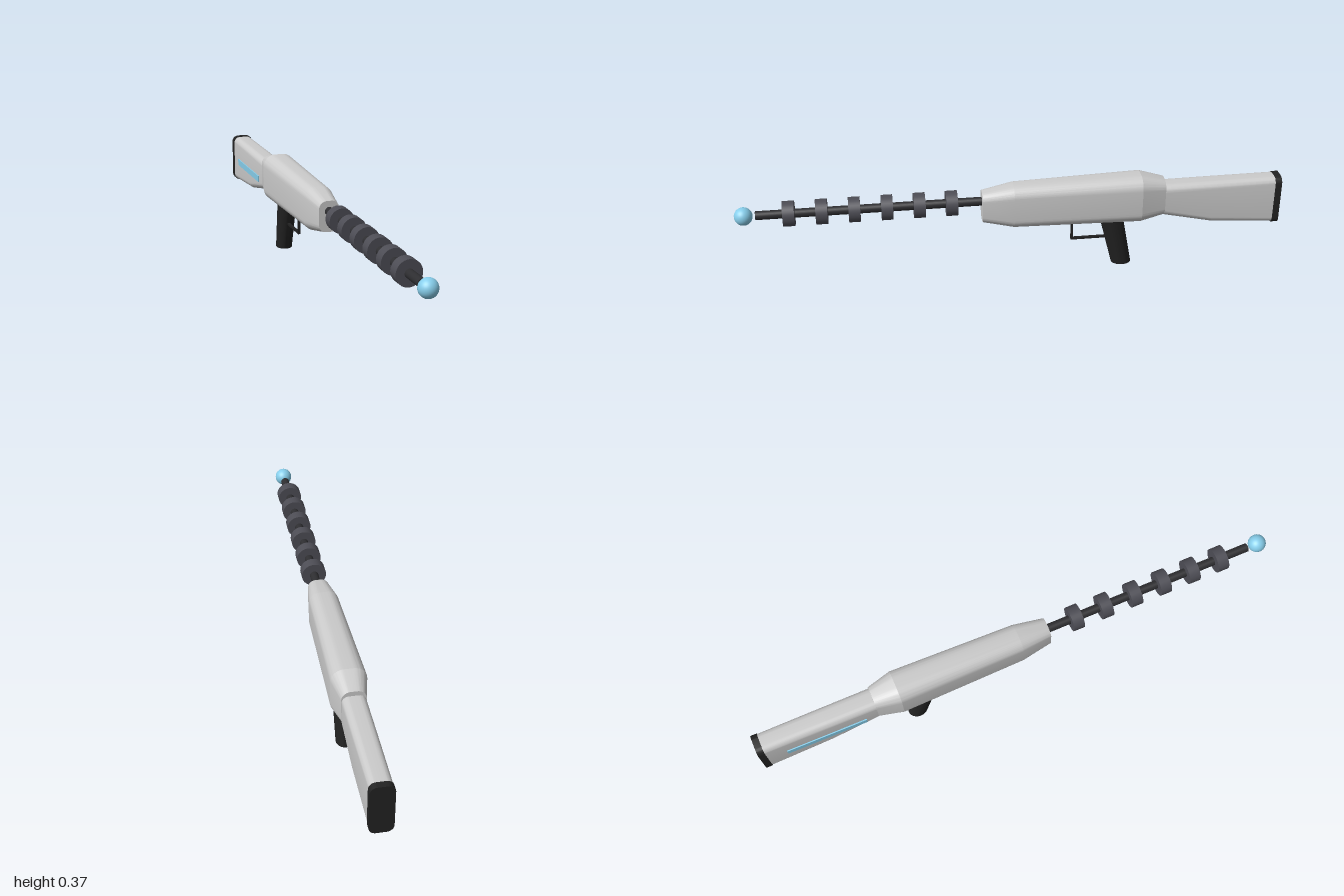
import * as THREE from 'three';
import { toCreasedNormals } from 'three/addons/utils/BufferGeometryUtils.js';

const mat = (color) => new THREE.MeshStandardMaterial({ color });
const shell = mat(0xcccccc);
const black = mat(0x222222);
const rodDark = mat(0x2e2e31);
const coilGrey = mat(0x4d4d55);
const blue = mat(0x87ceeb);
const AXIS_Y = 0.292;

// Rounded-rectangle cross-sections lofted from front to back: [z, bottom, top, halfWidth]
function loft(sections, roundness) {
  const steps = 10, n = 4 * (steps + 1);
  const pos = [], idx = [];
  for (const [z, bottom, top, w] of sections) {
    const r = w * roundness, h = (top - bottom) / 2, cy = (top + bottom) / 2;
    for (let c = 0; c < 4; c++) {
      const sx = c === 0 || c === 3 ? 1 : -1, sy = c < 2 ? 1 : -1;
      for (let k = 0; k <= steps; k++) {
        const a = (c + k / steps) * Math.PI / 2;
        pos.push(sx * (w - r) + r * Math.cos(a), cy + sy * (h - r) + r * Math.sin(a), z);
      }
    }
  }
  const last = (sections.length - 1) * n;
  for (let i = 0; i < last; i += n) {
    for (let j = 0; j < n; j++) {
      const a = i + j, b = i + (j + 1) % n;
      idx.push(a, a + n, b, b, a + n, b + n);
    }
  }
  for (let j = 1; j < n - 1; j++) idx.push(0, j, j + 1, last, last + j + 1, last + j);
  const g = new THREE.BufferGeometry();
  g.setAttribute('position', new THREE.Float32BufferAttribute(pos, 3));
  g.setIndex(idx);
  return toCreasedNormals(g, 0.18);
}

export function createModel() {
  const model = new THREE.Group();
  model.name = 'rayRifle';
  const add = (name, geometry, material, x = 0, y = 0, z = 0) => {
    const mesh = new THREE.Mesh(geometry, material);
    mesh.name = name;
    mesh.position.set(x, y, z);
    model.add(mesh);
    return mesh;
  };

  // Main body and stock
  add('body', loft([
    [0.115, 0.214, 0.33, 0.038],
    [0, 0.189, 0.353, 0.054],
    [-0.47, 0.181, 0.366, 0.063],
    [-0.56, 0.2, 0.341, 0.043],
  ], 0.75), shell);
  add('stock', loft([
    [-0.54, 0.205, 0.323, 0.042],
    [-0.74, 0.16, 0.325, 0.041],
    [-0.977, 0.141, 0.327, 0.039],
  ], 0.6), shell);
  add('buttPad', loft([
    [-0.976, 0.138, 0.329, 0.041],
    [-1, 0.138, 0.329, 0.041],
  ], 0.6), black);

  // Glowing strip on one side of the stock
  const strip = add('stockStrip', new THREE.BoxGeometry(0.008, 0.025, 0.3), blue, -0.041, 0.234, -0.755);
  strip.rotation.y = -0.008;

  // Barrel rod, coil rings and tip
  const rod = new THREE.CylinderGeometry(0.016, 0.016, 0.83, 24).rotateX(Math.PI / 2);
  add('barrelRod', rod, rodDark, 0, AXIS_Y, 0.51);
  const ring = new THREE.CylinderGeometry(0.046, 0.046, 0.042, 32).rotateX(Math.PI / 2);
  for (let i = 0; i < 6; i++) add('coilRing' + (i + 1), ring, coilGrey, 0, AXIS_Y, 0.225 + i * 0.1165);
  add('tipOrb', new THREE.SphereGeometry(0.033, 32, 20), blue, 0, AXIS_Y, 0.967);

  // Grip: oval cylinder sheared backwards towards the base
  const grip = new THREE.CylinderGeometry(0.037, 0.031, 0.21, 32);
  grip.scale(1, 1, 1.2).translate(0, 0.105, 0);
  const p = grip.attributes.position;
  for (let i = 0; i < p.count; i++) p.setZ(i, p.getZ(i) - 0.411 + p.getY(i) * 0.225);
  grip.computeVertexNormals();
  add('grip', toCreasedNormals(grip, 0.6), black);

  // Trigger guard
  add('guardFront', new THREE.BoxGeometry(0.01, 0.1, 0.008), black, 0, 0.157, -0.22);
  add('guardBottom', new THREE.BoxGeometry(0.01, 0.008, 0.154), black, 0, 0.111, -0.293);

  return model;
}
